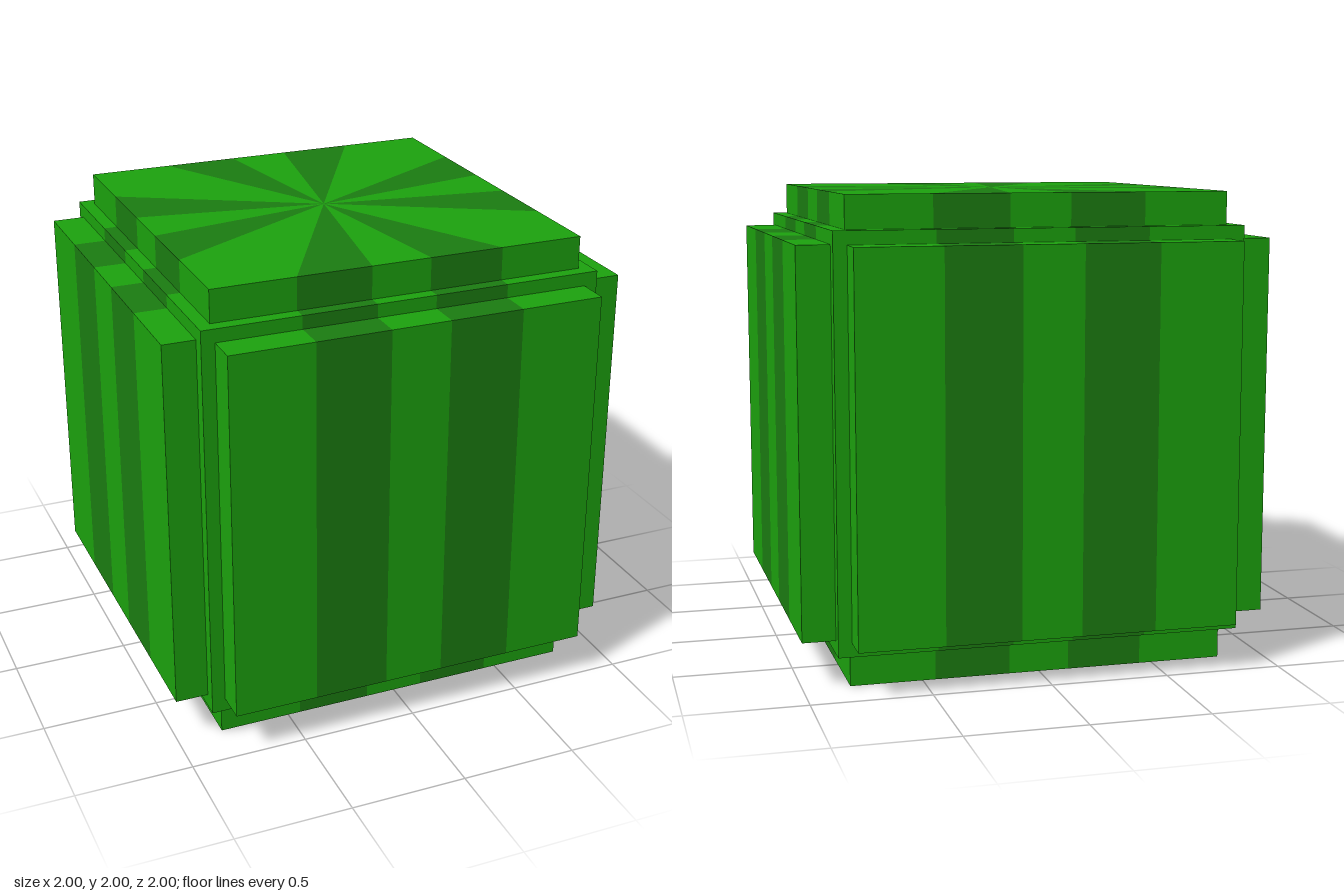
import * as THREE from 'three';

const PANEL = 0.804; // half width of the raised panels
const CORE = 0.861;  // half width of the core cube
const MID = 1;       // height of the centre

const light = new THREE.MeshStandardMaterial({ color: 0x1ca30e });
const dark = new THREE.MeshStandardMaterial({ color: 0x1b7d11 });

// Stripe edges across one side; the two outermost ones are the part's own rim.
const EDGES = [-Infinity, -0.446, -0.128, 0.128, 0.446, Infinity];

// Stripes run straight near the rim and converge to a star towards the axis.
function edgeX(edge, r, half) {
  if (!Number.isFinite(edge)) return Math.sign(edge) * Math.min(r, half);
  return edge * Math.min(1, r / PANEL);
}

function meshFromQuads(quads, material, name) {
  const positions = [];
  for (const [a, b, c, d] of quads) {
    if (!a.equals(b) && !b.equals(c)) positions.push(...a, ...b, ...c);
    if (!a.equals(d) && !c.equals(d)) positions.push(...a, ...c, ...d);
  }
  const geometry = new THREE.BufferGeometry();
  geometry.setAttribute('position', new THREE.Float32BufferAttribute(positions, 3));
  geometry.computeVertexNormals();
  const mesh = new THREE.Mesh(geometry, material);
  mesh.name = name;
  return mesh;
}

// Sweeps a profile of [distance from axis, height] across the stripes of all four sides.
function stripedPart(name, profile, half, extraQuads = []) {
  const lightQuads = [...extraQuads];
  const darkQuads = [];
  for (let s = 0; s < 5; s++) {
    const target = s % 2 ? darkQuads : lightQuads;
    const point = ([r, y], e) => new THREE.Vector3(edgeX(EDGES[e], r, half), y, r);
    for (let i = 0; i + 1 < profile.length; i++) {
      const [p, q] = [profile[i], profile[i + 1]];
      const quad = [point(p, s), point(q, s), point(q, s + 1), point(p, s + 1)];
      // Collapse the tip of each star ray onto the axis exactly
      quad.forEach((v) => { if (v.z === 0) v.x = 0; });
      target.push(quad);
    }
  }
  const part = new THREE.Group();
  part.name = name;
  for (let k = 0; k < 4; k++) {
    const side = new THREE.Group();
    side.name = name + ['Front', 'Left', 'Back', 'Right'][k];
    side.rotation.y = k * Math.PI / 2;
    side.add(meshFromQuads(lightQuads, light, 'lightStripes'));
    side.add(meshFromQuads(darkQuads, dark, 'darkStripes'));
    part.add(side);
  }
  return part;
}

export function createModel() {
  const group = new THREE.Group();
  group.name = 'stripedCube';
  const top = MID + CORE, bottom = MID - CORE;
  const hi = MID + PANEL, lo = MID - PANEL;

  // Core cube
  group.add(stripedPart('core', [
    [0, top], [PANEL, top], [CORE, top], [CORE, bottom], [PANEL, bottom], [0, bottom],
  ], CORE));

  // Raised panels with star tops, above and below
  group.add(stripedPart('topPanel', [[0, 2], [PANEL, 2], [PANEL, top]], PANEL));
  group.add(stripedPart('bottomPanel', [[PANEL, bottom], [PANEL, 0], [0, 0]], PANEL));

  // Four raised side panels, with plain end walls
  const endWalls = [1, -1].map((s) => {
    const wall = [[lo, 1], [lo, CORE], [hi, CORE], [hi, 1]]
      .map(([y, z]) => new THREE.Vector3(s * PANEL, y, z));
    return s > 0 ? wall : wall.reverse();
  });
  group.add(stripedPart('sidePanel', [[CORE, hi], [1, hi], [1, lo], [CORE, lo]], PANEL, endWalls));

  return group;
}
